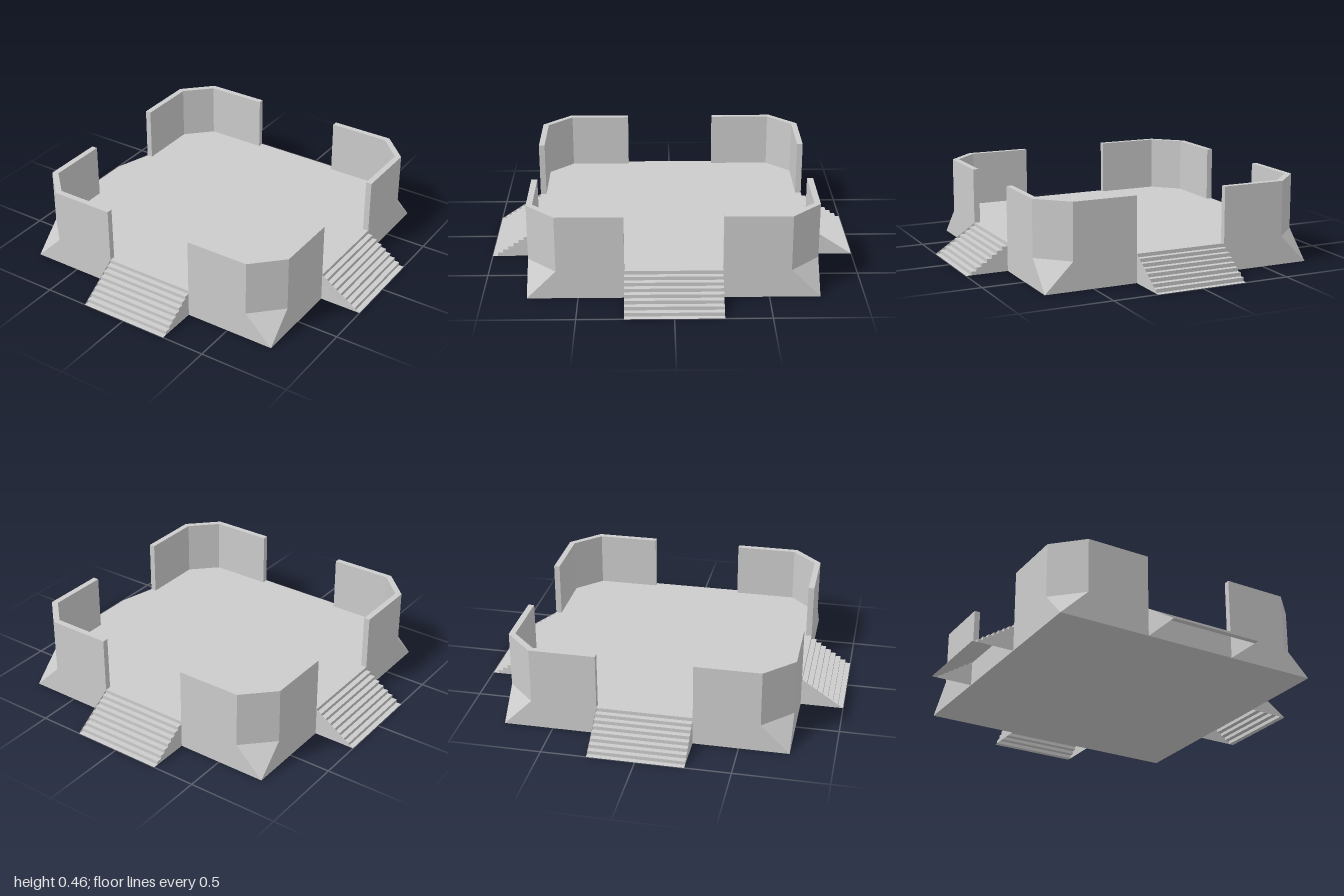
import * as THREE from 'three';
import { ConvexGeometry } from 'three/addons/geometries/ConvexGeometry.js';

const HALF = 0.767;      // half width of the base
const FLOOR = 0.155;     // floor height
const TOP = 0.46;        // wall top
const CUT = HALF - 0.155; // where the corner chamfer starts
const GATE = 0.257;      // half width of each entrance
const STEPS = 8;

const material = new THREE.MeshStandardMaterial({ color: 0xcccccc, flatShading: true, side: THREE.DoubleSide });

function addMesh(parent, geometry, name) {
  const mesh = new THREE.Mesh(geometry, material);
  mesh.name = name;
  parent.add(mesh);
  return mesh;
}

// Square at the ground, chamfered to an octagon at floor level
function baseGeometry() {
  const points = [];
  for (const sx of [-1, 1]) for (const sz of [-1, 1]) {
    points.push(
      new THREE.Vector3(sx * HALF, 0, sz * HALF),
      new THREE.Vector3(sx * HALF, FLOOR, sz * CUT),
      new THREE.Vector3(sx * CUT, FLOOR, sz * HALF));
  }
  return new ConvexGeometry(points);
}

// Wall wrapping one chamfered corner
function wallGeometry() {
  const inner = HALF - 0.033, innerCut = CUT - 0.0135;
  const outline = [
    [HALF, GATE], [HALF, CUT], [CUT, HALF], [GATE, HALF],
    [GATE, inner], [innerCut, inner], [inner, innerCut], [inner, GATE],
  ].map(([x, y]) => new THREE.Vector2(x, y));
  const geometry = new THREE.ExtrudeGeometry(new THREE.Shape(outline), { depth: TOP - FLOOR, bevelEnabled: false });
  return geometry.rotateX(-Math.PI / 2).translate(0, FLOOR, 0);
}

// Side panel of a stair from a (z, y) outline
function sidePanel(points, x) {
  const shape = new THREE.Shape(points.map(([z, y]) => new THREE.Vector2(z, y)));
  return new THREE.ShapeGeometry(shape).rotateY(-Math.PI / 2).translate(x, 0, 0);
}

// Thin stepped flight, hollow below, with one sloped and one stepped side
function createStair() {
  const stair = new THREE.Group();
  stair.name = 'stair';
  const run = (1 - HALF) / STEPS, rise = FLOOR / STEPS;
  const profile = [[HALF, 0]];
  for (let i = 0; i < STEPS; i++) {
    const z = 1 - i * run, y = i * rise;
    const tread = new THREE.PlaneGeometry(2 * GATE, run).rotateX(-Math.PI / 2);
    addMesh(stair, tread.translate(0, y, z - run / 2), 'tread');
    // the last riser is the face of the base itself
    if (i < STEPS - 1) {
      const riser = new THREE.PlaneGeometry(2 * GATE, rise);
      addMesh(stair, riser.translate(0, y + rise / 2, z - run), 'riser');
    }
    if (i > 0) profile.push([z, y - rise], [z, y]);
  }
  profile.push([HALF, FLOOR - rise]);
  addMesh(stair, sidePanel([[HALF, 0], [1, 0], [HALF, FLOOR]], -GATE), 'slopedSide');
  addMesh(stair, sidePanel(profile, GATE), 'steppedSide');
  return stair;
}

export function createModel() {
  const model = new THREE.Group();
  model.name = 'walledPlatform';
  addMesh(model, baseGeometry(), 'base');

  // One wall and one stair per quarter turn
  const wall = wallGeometry();
  for (let i = 0; i < 4; i++) {
    const angle = i * Math.PI / 2;
    addMesh(model, wall, 'cornerWall').rotation.y = angle;
    const stair = createStair();
    stair.rotation.y = angle;
    model.add(stair);
  }
  return model;
}
